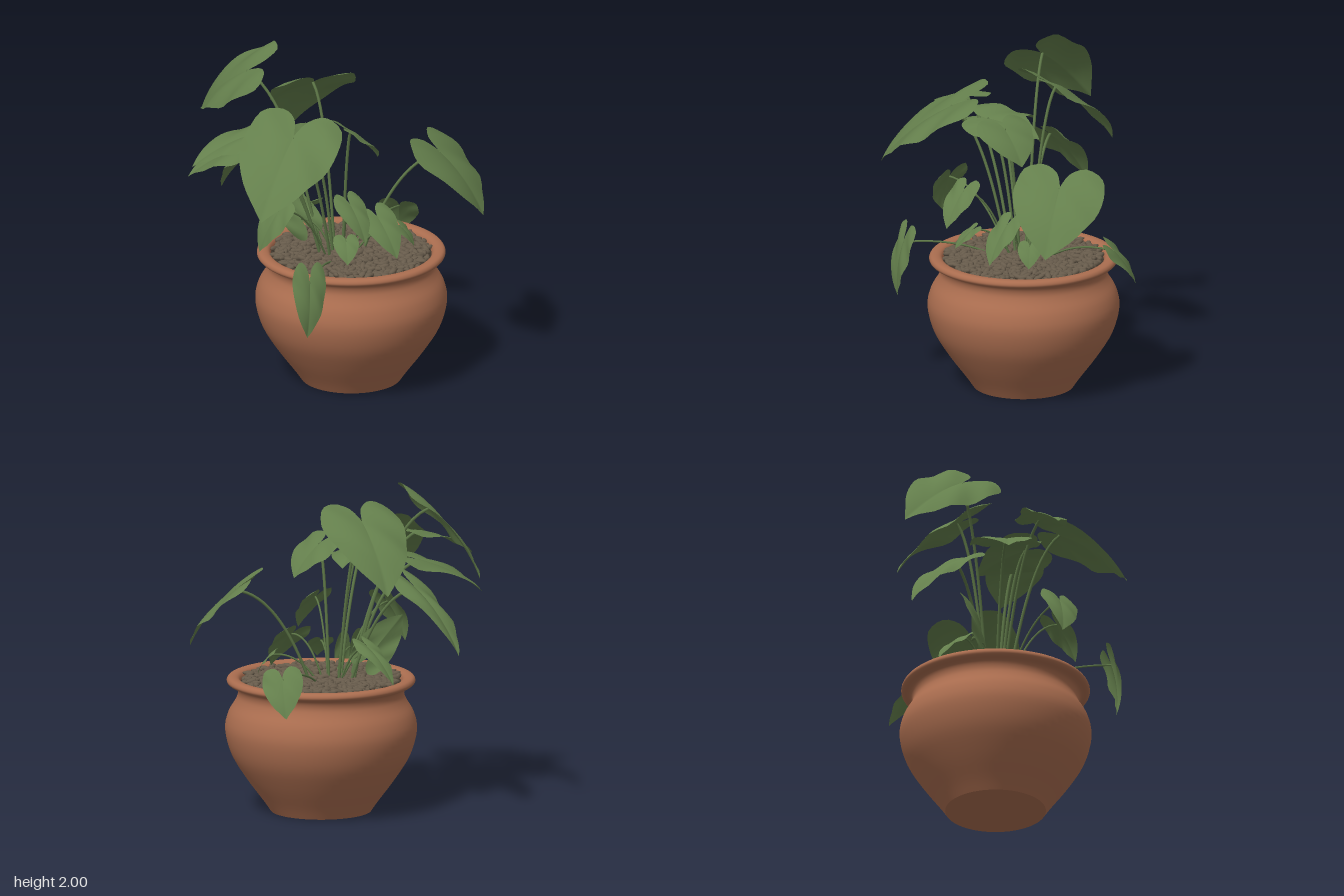
import * as THREE from 'three';
import { mergeGeometries } from 'three/addons/utils/BufferGeometryUtils.js';

const mat = (name, color, side = THREE.FrontSide) => {
  const m = new THREE.MeshStandardMaterial({ color, side });
  m.name = name;
  return m;
};

// Half outline of a heart-shaped leaf: x runs notch to tip, y is half width
const outline = new THREE.SplineCurve([
  [-0.04, 0], [-0.25, 0.14], [-0.36, 0.48], [-0.25, 0.87], [0.05, 1],
  [0.35, 0.89], [0.65, 0.6], [0.88, 0.22], [1, 0],
].map((p) => new THREE.Vector2(...p))).getPoints(24);
const RINGS = 6;

// Leaf blade spread from the stalk joint, with an arched midrib and a soft fold
function leafGeometry(base, tip, halfWidth, roll) {
  const u = tip.clone().sub(base), len = u.length();
  const level = new THREE.Vector3(-u.z, 0, u.x).normalize();
  const axis = u.clone().normalize();
  const side = level.clone().applyAxisAngle(axis, -roll);
  const n = side.clone().cross(axis);
  side.multiplyScalar(halfWidth);
  const rim = [...outline.map((p) => [p.x, p.y]),
    ...outline.slice(0, -1).reverse().map((p) => [p.x, -p.y])];
  const pos = [], index = [];
  for (let k = 0; k <= RINGS; k++) {
    for (const [x, y] of rim) {
      const a = (x * k) / RINGS, b = (y * k) / RINGS;
      const lift = len * (0.24 * (a - a * a) + 0.1 * Math.abs(b) - 0.14 * b * b
        + 0.03 * Math.sin(a * 9 + b * 5) * Math.abs(b));
      const p = base.clone().addScaledVector(u, a).addScaledVector(side, b).addScaledVector(n, lift);
      pos.push(p.x, p.y, p.z);
    }
  }
  const w = rim.length;
  for (let k = 0; k < RINGS; k++) {
    for (let i = 0; i < w - 1; i++) {
      const a = k * w + i, b = a + w;
      if (k > 0) index.push(a, b, a + 1);
      index.push(a + 1, b, b + 1);
    }
  }
  const g = new THREE.BufferGeometry();
  g.setAttribute('position', new THREE.Float32BufferAttribute(pos, 3));
  g.setIndex(index);
  g.computeVertexNormals();
  return g;
}

// Each leaf: stalk joint xyz, tip xyz, half width, roll about the midrib
const LEAVES = [
  // large leaves
  [-0.2, 1.83, -0.35, -0.17, 1.47, -0.77, 0.22, 0.7],
  [0.1, 1.75, -0.1, 0.26, 1.38, -0.43, 0.25, 0.03],
  [-0.36, 1.47, -0.14, -0.64, 1.27, -0.38, 0.21, 0],
  [-0.12, 1.36, -0.32, -0.11, 1, -0.66, 0.13, 0.17],
  [-0.5, 1.6, 0, -0.82, 1.44, -0.15, 0.14, 0.1],
  [-0.4, 1.62, 0.26, -0.8, 1.24, 0.42, 0.29, 0.16],
  [0.58, 1.35, 0.48, 0.68, 1, 0.74, 0.27, 0.13],
  [-0.2, 1.56, 0.17, 0.1, 1.46, 0.06, 0.17, -0.3],
  [0.03, 1.57, 0.3, 0.2, 1.38, 0.35, 0.18, 0],
  // small and hanging leaves
  [-0.14, 1.2, 0.48, -0.15, 1, 0.62, 0.1, 0],
  [0.14, 1.03, 0.42, 0.14, 0.82, 0.58, 0.11, -0.2],
  [0.65, 0.88, 0.05, 0.73, 0.67, -0.05, 0.12, -0.25],
  [-0.53, 0.83, 0.55, -0.56, 0.5, 0.56, 0.1, 0.8],
  [-0.46, 1.16, 0.2, -0.55, 0.92, 0.14, 0.12, 0.4],
  [-0.05, 0.95, -0.04, -0.08, 1.2, -0.25, 0.11, 1.2],
  [0.05, 1, -0.1, 0.05, 0.8, -0.29, 0.08, 0],
  [0.32, 0.93, 0.43, 0.36, 0.82, 0.49, 0.07, 0],
  [-0.12, 0.95, 0.42, -0.18, 0.84, 0.5, 0.075, 0],
];

export function createModel() {
  const model = new THREE.Group();
  model.name = 'pottedPlant';
  const terracotta = mat('terracotta', 0xaa6d4f);
  const leafGreen = mat('leaf green', 0x647f4c, THREE.DoubleSide);
  const stemGreen = mat('stem green', 0x5c7546);
  const pebbleBrown = mat('pebble brown', 0x675b4b);
  const soilBrown = mat('soil brown', 0x40372d);
  const add = (parent, name, geo, material) => {
    const m = new THREE.Mesh(geo, material);
    m.name = name;
    parent.add(m);
    return m;
  };

  // Pot: turned body, rolled rim and flat base
  const pot = new THREE.Group();
  pot.name = 'pot';
  pot.position.set(0.108, 0, 0.22);
  model.add(pot);
  const wall = new THREE.SplineCurve([
    [0.295, 0], [0.34, 0.065], [0.44, 0.2], [0.525, 0.34], [0.562, 0.48], [0.545, 0.58],
    [0.502, 0.655], [0.487, 0.7], [0.5, 0.74], [0.54, 0.757], [0.553, 0.776],
    [0.54, 0.797], [0.505, 0.8], [0.478, 0.785], [0.465, 0.74], [0.46, 0.7],
  ].map((p) => new THREE.Vector2(...p))).getPoints(60);
  add(pot, 'potBody', new THREE.LatheGeometry(wall, 72), terracotta);
  add(pot, 'potBase', new THREE.CircleGeometry(0.295, 72).rotateX(Math.PI / 2), terracotta);
  add(pot, 'soil', new THREE.CircleGeometry(0.472, 48).rotateX(-Math.PI / 2), soilBrown).position.y = 0.765;

  // Pebbles scattered in a sunflower pattern
  let seed = 7;
  const rnd = () => (seed = (seed * 16807) % 2147483647) / 2147483647;
  const pebbles = [], COUNT = 680;
  for (let i = 0; i < COUNT; i++) {
    const r = 0.455 * Math.sqrt((i + 0.5) / COUNT), t = i * 2.39996;
    const g = new THREE.SphereGeometry(1, 8, 6);
    g.scale(0.03 + rnd() * 0.012, 0.012 + rnd() * 0.005, 0.015 + rnd() * 0.005);
    g.rotateZ((rnd() - 0.5) * 0.7);
    g.rotateY(rnd() * Math.PI * 2);
    g.translate(r * Math.cos(t), 0.774 + rnd() * 0.02, r * Math.sin(t));
    pebbles.push(g);
  }
  add(pot, 'pebbles', mergeGeometries(pebbles), pebbleBrown);

  // Leaves, each on an arching stalk from the middle of the pot
  const plant = new THREE.Group();
  plant.name = 'plant';
  model.add(plant);
  const heart = new THREE.Vector3(0.07, 0.76, 0.17);
  for (const [bx, by, bz, tx, ty, tz, halfWidth, roll] of LEAVES) {
    const base = new THREE.Vector3(bx, by, bz), tip = new THREE.Vector3(tx, ty, tz);
    const root = heart.clone().lerp(base, 0.22).setY(0.76);
    const bend = root.clone().lerp(base, 0.42).setY(0.81 + (by - 0.76) * 0.85);
    const path = new THREE.QuadraticBezierCurve3(root, bend, base);
    add(plant, 'stem', new THREE.TubeGeometry(path, 20, halfWidth > 0.12 ? 0.009 : 0.006, 7), stemGreen);
    add(plant, 'leaf', leafGeometry(base, tip, halfWidth, roll), leafGreen);
  }
  return model;
}
